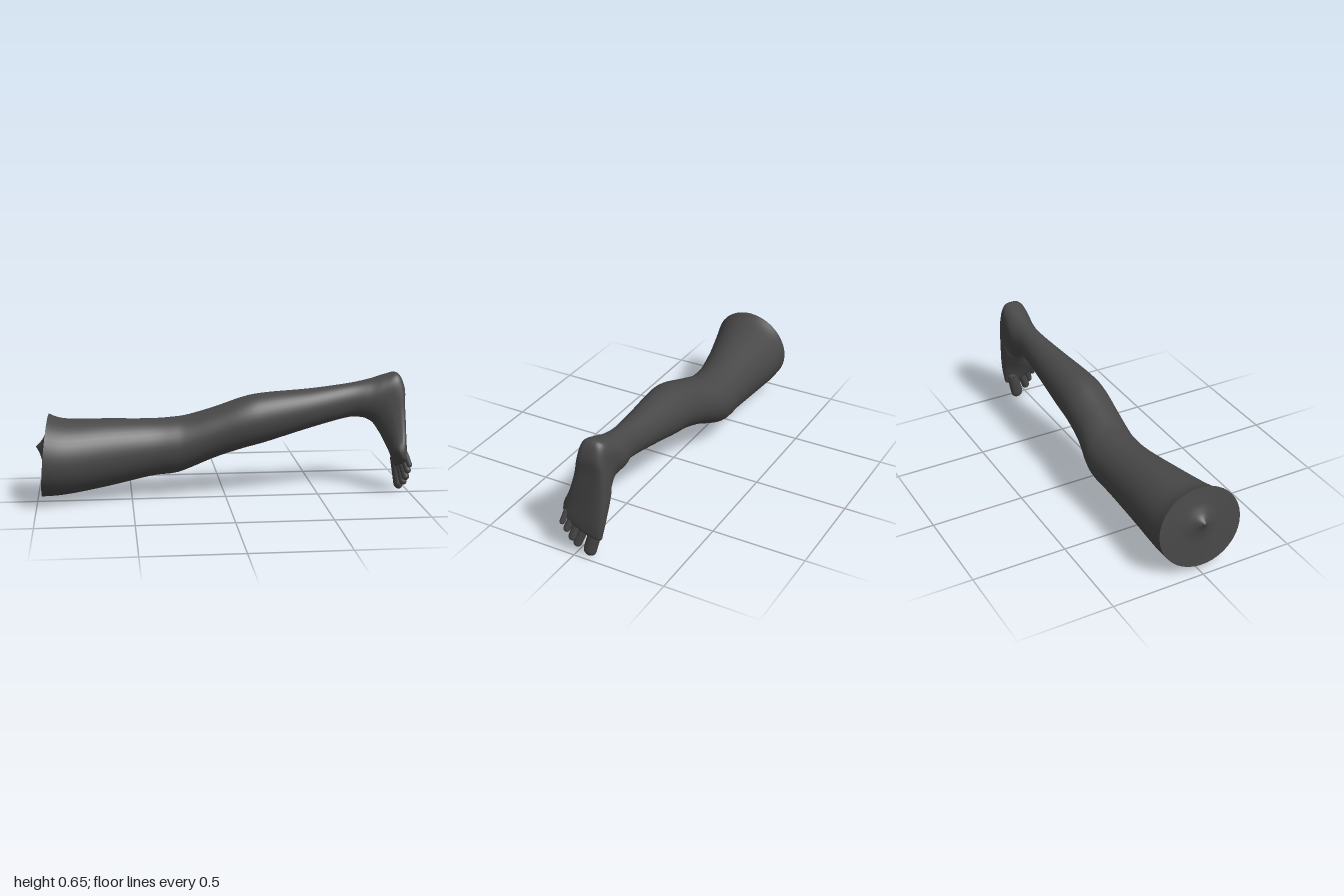
import * as THREE from 'three';

const SIDES = 40, STEPS = 6;
const skin = new THREE.MeshStandardMaterial({ color: 0x484848 });

// Smooth interpolation between cross-section rows
function spline(p0, p1, p2, p3, t) {
  const m1 = (p2 - p0) / 2, m2 = (p3 - p1) / 2, t2 = t * t, t3 = t2 * t;
  return (2 * t3 - 3 * t2 + 1) * p1 + (t3 - 2 * t2 + t) * m1 + (3 * t2 - 2 * t3) * p2 + (t3 - t2) * m2;
}

function refine(rows) {
  const out = [];
  const at = (i) => rows[Math.min(Math.max(i, 0), rows.length - 1)];
  for (let i = 0; i < rows.length - 1; i++) {
    for (let s = 0; s < STEPS; s++) {
      out.push(at(i).map((_, k) => spline(at(i - 1)[k], at(i)[k], at(i + 1)[k], at(i + 2)[k], s / STEPS)));
    }
  }
  out.push(at(rows.length - 1));
  return out;
}

// Row: backX, backY, frontX, frontY, zMin, zMax, squareness of the back half, tilt
function loft(name, rows) {
  const pos = [], index = [];
  for (const [bx, by, fx, fy, z0, z1, n, tilt] of rows) {
    const dx = (bx - fx) / 2, dy = (by - fy) / 2, len = Math.hypot(dx, dy) || 1;
    for (let j = 0; j < SIDES; j++) {
      const a = (j / SIDES) * Math.PI * 2, c = Math.cos(a), s = Math.sin(a);
      const e = c > 0 ? 2 / n : 1;
      const u = Math.sign(c) * Math.abs(c) ** e;
      const w = Math.sign(s) * Math.abs(s) ** e * (z1 - z0) / 2;
      pos.push((bx + fx) / 2 + dx * u + tilt * w * dy / len,
        (by + fy) / 2 + dy * u - tilt * w * dx / len,
        (z0 + z1) / 2 + w);
    }
  }
  for (let i = 0; i < rows.length - 1; i++) {
    for (let j = 0; j < SIDES; j++) {
      const a = i * SIDES + j, b = i * SIDES + (j + 1) % SIDES;
      index.push(a, b, b + SIDES, a, b + SIDES, a + SIDES);
    }
  }
  const geo = new THREE.BufferGeometry();
  geo.setAttribute('position', new THREE.Float32BufferAttribute(pos, 3));
  geo.setIndex(index);
  geo.computeVertexNormals();
  const mesh = new THREE.Mesh(geo, skin);
  mesh.name = name;
  return mesh;
}

function toe(name, base, tip, radius, flat) {
  const a = new THREE.Vector3(...base), b = new THREE.Vector3(...tip);
  const dir = b.clone().sub(a);
  const geo = new THREE.CapsuleGeometry(radius, dir.length(), 8, 20);
  geo.scale(flat, 1, 1);
  const mesh = new THREE.Mesh(geo, skin);
  mesh.name = name;
  mesh.position.copy(a).add(b).multiplyScalar(0.5);
  mesh.quaternion.setFromUnitVectors(new THREE.Vector3(0, -1, 0), dir.normalize());
  return mesh;
}

export function createModel() {
  const group = new THREE.Group();
  group.name = 'leg';

  // Slanted rim where the thigh is cut
  const rim = [-0.93, 0.47, -0.97, 0.035, -0.218, 0.224, 2, -0.05];

  // Thigh, knee, calf and shin as upright sections: x, top, bottom, zMin, zMax
  const shank = [
    [-0.84, 0.44, 0.04, -0.216, 0.192],
    [-0.62, 0.43, 0.07, -0.211, 0.124],
    [-0.40, 0.42, 0.11, -0.217, 0.07],
    [-0.27, 0.425, 0.122, -0.224, 0.06],
    [-0.19, 0.437, 0.148, -0.22, 0.06],
    [-0.05, 0.48, 0.208, -0.192, 0.065],
    [0.10, 0.532, 0.256, -0.182, 0.071],
    [0.22, 0.552, 0.285, -0.18, 0.058],
    [0.46, 0.566, 0.352, -0.171, 0.014],
    [0.67, 0.588, 0.402, -0.165, -0.025],
  ].map(([x, top, bottom, z0, z1]) => [x, top, x, bottom, z0, z1, 2, 0]);

  // Sections fan round the heel and run down the foot: sole point, instep point, zMin, zMax
  const foot = [
    [0.79, 0.61, 0.75, 0.40, -0.18, -0.022],
    [0.87, 0.634, 0.785, 0.388, -0.176, -0.014],
    [0.94, 0.643, 0.812, 0.37, -0.166, -0.01],
    [0.975, 0.57, 0.843, 0.325, -0.163, -0.004],
    [0.976, 0.48, 0.858, 0.30, -0.166, 0.008],
    [0.979, 0.37, 0.877, 0.26, -0.164, 0.037],
    [0.983, 0.27, 0.895, 0.222, -0.158, 0.073],
    [0.988, 0.195, 0.915, 0.178, -0.146, 0.08],
    [0.985, 0.15, 0.932, 0.145, -0.13, 0.064],
    [0.962, 0.14, 0.958, 0.14, -0.06, 0],
  ].map((row, i, all) => {
    // The sole is flattest mid-foot; the toe line slopes toward the big toe
    const v = i / (all.length - 1);
    return [...row, 2 + 2 * Math.sin(Math.PI * v) ** 2, -0.4 * THREE.MathUtils.smoothstep(v, 0.5, 0.9)];
  });
  group.add(loft('limb', refine([rim, ...shank, ...foot])));

  // Cut end of the thigh, rising to a blunt point
  const apex = [-0.95, 0.3, -0.95, 0.3, 0, 0, 2, 0];
  group.add(loft('thighEnd', [0, 0.12, 0.25, 0.5, 1].map((s) => apex.map((p, k) => {
    const bulge = k === 0 || k === 2 ? 0.05 * (1 - s) ** 4 : 0;
    return THREE.MathUtils.lerp(p, rim[k], s) - bulge;
  }))));

  // Toes
  group.add(
    toe('bigToe', [0.945, 0.16, -0.1], [0.959, 0.034, -0.07], 0.034, 0.75),
    toe('secondToe', [0.952, 0.17, -0.05], [0.97, 0.06, -0.007], 0.022, 0.95),
    toe('thirdToe', [0.952, 0.19, -0.012], [0.977, 0.091, 0.017], 0.021, 0.95),
    toe('fourthToe', [0.956, 0.21, 0.018], [0.981, 0.132, 0.045], 0.018, 1),
    toe('littleToe', [0.965, 0.225, 0.052], [0.985, 0.167, 0.067], 0.0145, 1),
  );
  return group;
}
